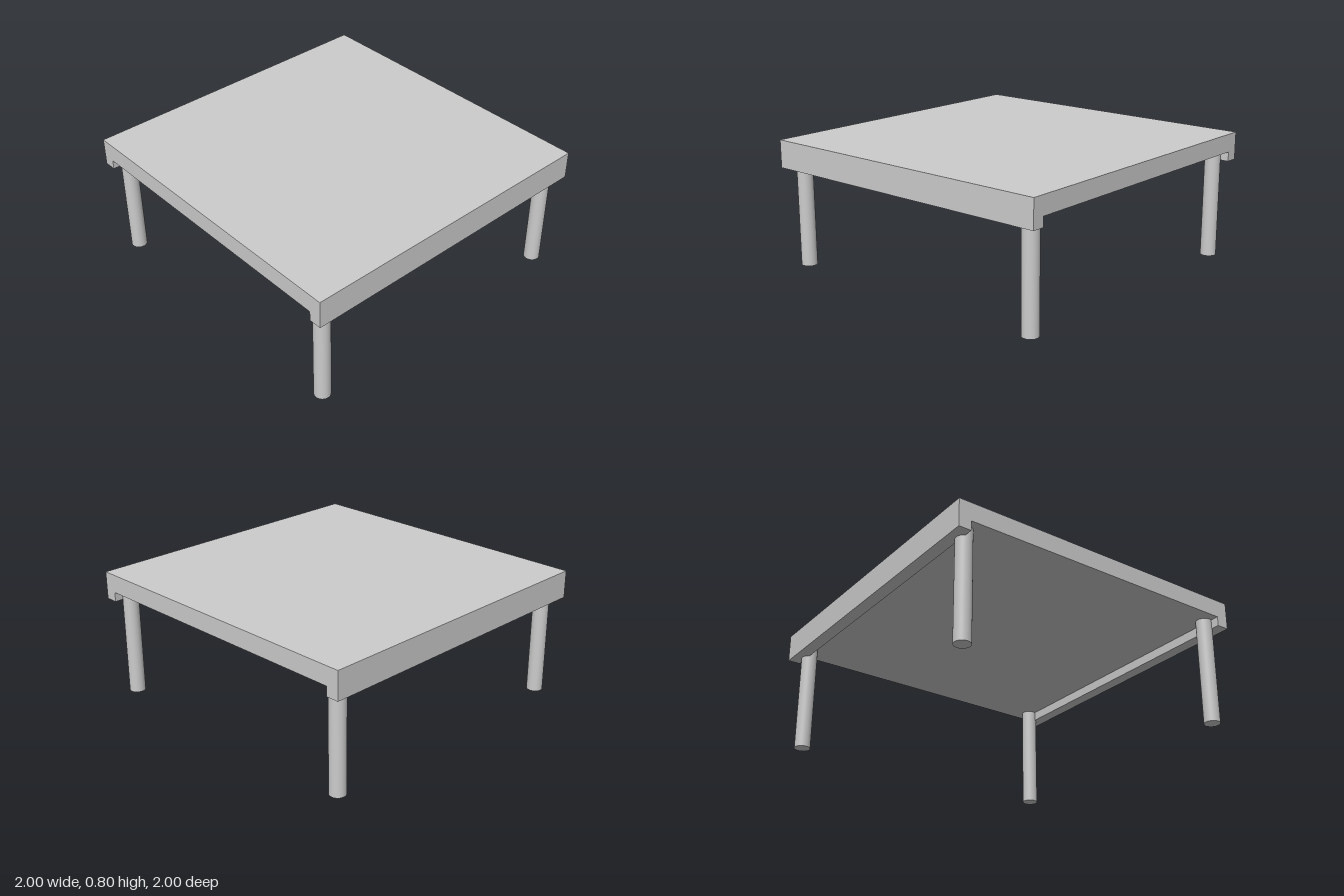
import * as THREE from 'three';

export function createModel() {
  const model = new THREE.Group();
  model.name = 'lowTable';
  const grey = new THREE.MeshStandardMaterial({ color: 0xcccccc });
  grey.name = 'light grey';

  const add = (name, geometry, x = 0, y = 0, z = 0) => {
    const mesh = new THREE.Mesh(geometry, grey);
    mesh.name = name;
    mesh.position.set(x, y, z);
    model.add(mesh);
  };

  // Table top with downturned front and back lips, extruded across the width
  const [edge, inner, top, under, lip] = [1, 0.92, 0.8, 0.685, 0.625];
  const section = new THREE.Shape([
    [-edge, lip], [-inner, lip], [-inner, under], [inner, under],
    [inner, lip], [edge, lip], [edge, top], [-edge, top],
  ].map(([z, y]) => new THREE.Vector2(z, y)));
  const slab = new THREE.ExtrudeGeometry(section, { depth: 2, bevelEnabled: false });
  slab.translate(0, 0, -1).rotateY(Math.PI / 2);
  add('tableTop', slab);

  // Four round legs reaching up to the underside
  const leg = new THREE.CylinderGeometry(0.05, 0.05, under, 32);
  for (const [side, x] of [['Left', 0.9], ['Right', -0.9]]) {
    for (const [end, z] of [['front', 0.9], ['back', -0.9]]) {
      add(`${end}${side}Leg`, leg, x, under / 2, z);
    }
  }
  return model;
}
